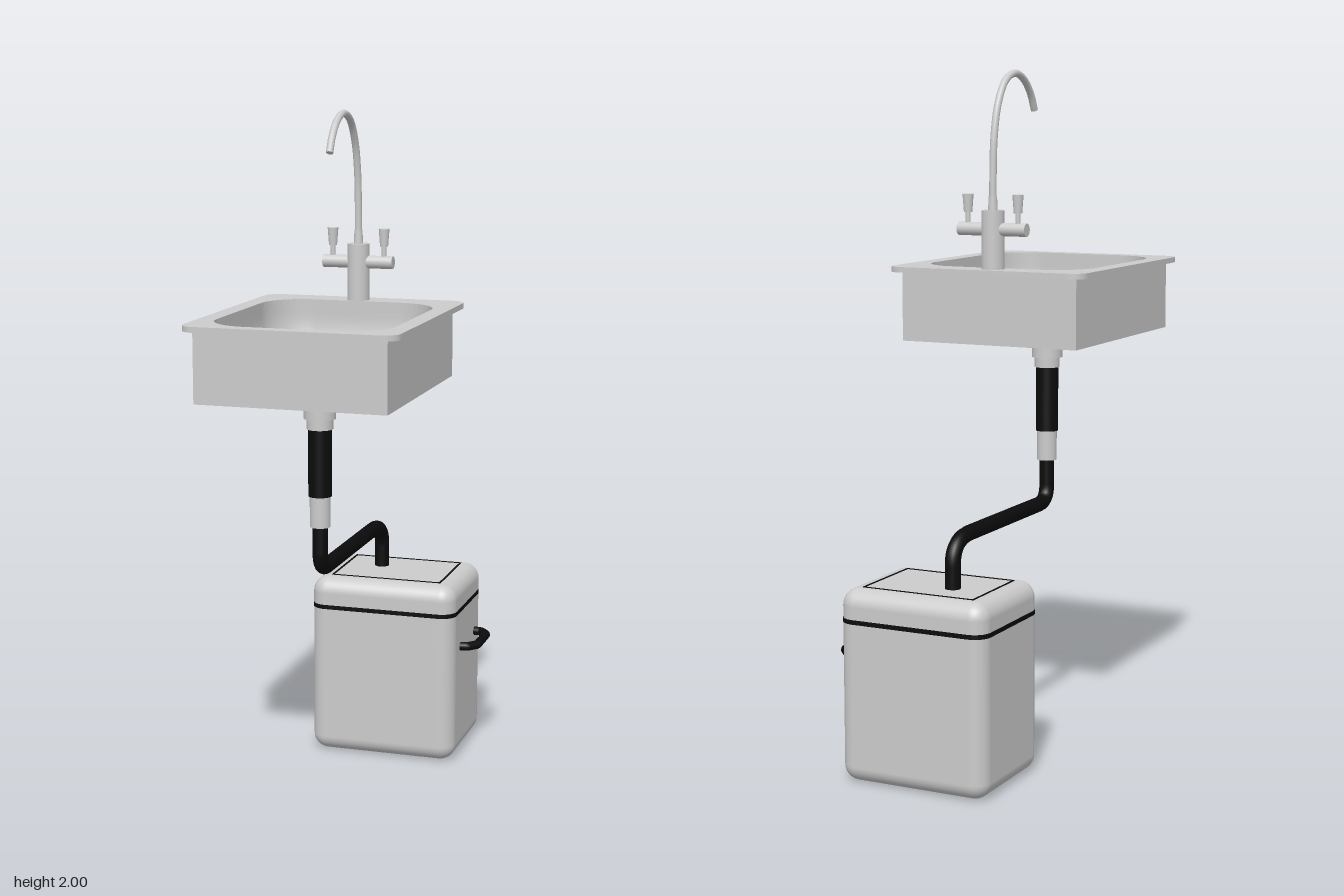
import * as THREE from 'three';
import { RoundedBoxGeometry } from 'three/addons/geometries/RoundedBoxGeometry.js';

const grey = new THREE.MeshStandardMaterial({ color: 0xcccccc });
const black = new THREE.MeshStandardMaterial({ color: 0x0b0b0b });
const V = (x, y, z) => new THREE.Vector3(x, y, z);

// Outline of a rounded rectangle, counter-clockwise, always 4 * (n + 1) points
function roundedRect(hw, hh, r, n = 10) {
  const pts = [];
  [[1, 1], [-1, 1], [-1, -1], [1, -1]].forEach(([sx, sy], c) => {
    for (let i = 0; i <= n; i++) {
      const a = (c + i / n) * Math.PI / 2;
      pts.push(new THREE.Vector2(sx * (hw - r) + r * Math.cos(a), sy * (hh - r) + r * Math.sin(a)));
    }
  });
  return pts;
}

// Horizontal plate with an optional hole, its underside at y = 0
function plate(outline, depth, hole) {
  const shape = new THREE.Shape(outline);
  if (hole) shape.holes.push(new THREE.Path(hole));
  return new THREE.ExtrudeGeometry(shape, { depth, bevelEnabled: false }).rotateX(-Math.PI / 2);
}

// Basin: rounded-rectangle rings that curve down and in to a flat floor
function bowlGeometry(hw, hd, r, top, floor, cx, cz) {
  const pos = [], idx = [], steps = 14, inset = 0.11;
  const rings = [[0, top]];
  for (let i = 0; i <= steps; i++) {
    const a = i / steps * Math.PI / 2;
    rings.push([inset * (1 - Math.cos(a)), top - 0.03 - (top - 0.03 - floor) * Math.sin(a)]);
  }
  rings.push([inset + 0.02, floor]);
  let n = 0;
  for (const [d, y] of rings) {
    const pts = roundedRect(hw - d, hd - d, Math.max(r - d, 0.012));
    n = pts.length;
    pts.forEach(p => pos.push(p.x, y, -p.y));
  }
  for (let k = 0; k < rings.length - 1; k++) {
    for (let i = 0; i < n; i++) {
      const a = k * n + i, b = k * n + (i + 1) % n;
      idx.push(a, b, b + n, a, b + n, a + n);
    }
  }
  const last = (rings.length - 1) * n, centre = pos.length / 3;
  pos.push(cx, floor, cz);
  for (let i = 0; i < n; i++) idx.push(last + i, last + (i + 1) % n, centre);
  const g = new THREE.BufferGeometry();
  g.setAttribute('position', new THREE.Float32BufferAttribute(pos, 3));
  g.setIndex(idx);
  g.computeVertexNormals();
  return g;
}

export function createModel() {
  const model = new THREE.Group();
  const group = name => {
    const g = new THREE.Group();
    g.name = name;
    model.add(g);
    return g;
  };
  const add = (parent, name, geo, mat, x = 0, y = 0, z = 0) => {
    const m = new THREE.Mesh(geo, mat);
    m.name = name;
    m.position.set(x, y, z);
    parent.add(m);
    return m;
  };
  // Upright cylinder given by its bottom and top heights
  const post = (parent, name, mat, x, z, y0, y1, rBottom, rTop = rBottom) =>
    add(parent, name, new THREE.CylinderGeometry(rTop, rBottom, y1 - y0, 32), mat, x, (y0 + y1) / 2, z);
  // Round tube with flat end caps
  const tube = (parent, name, curve, r, mat, segs = 64, sides = 16) => {
    add(parent, name, new THREE.TubeGeometry(curve, segs, r, sides), mat);
    for (const t of [0, 1]) {
      const dir = curve.getTangentAt(t).multiplyScalar(t ? 1 : -1), p = curve.getPointAt(t);
      const cap = add(parent, name + 'End', new THREE.CircleGeometry(r, sides), mat, p.x, p.y, p.z);
      cap.quaternion.setFromUnitVectors(V(0, 0, 1), dir);
    }
  };

  // Sink
  const sink = group('sink');
  const sx = -0.016, bowlZ = 0.195;
  const opening = roundedRect(0.258, 0.305, 0.125);
  const holePts = opening.map(p => new THREE.Vector2(p.x, p.y - (bowlZ - 0.172)));
  add(sink, 'rim', plate(roundedRect(0.309, 0.372, 0.045), 0.016, holePts), grey, sx, 1.422, 0.172);
  add(sink, 'bowl', bowlGeometry(0.258, 0.305, 0.125, 1.424, 1.235, -0.007, 0.023), grey, sx, 0, bowlZ);
  const shell = new THREE.BoxGeometry(0.553, 0.204, 0.675);
  const faces = Array.from(shell.index.array);
  faces.splice(12, 6); // open top
  shell.setIndex(faces);
  shell.clearGroups();
  add(sink, 'casing', shell, grey, sx, 1.322, 0.177);

  // Drain strainer
  const drain = group('drain');
  const dx = -0.023, dz = 0.22;
  post(drain, 'drainPlate', grey, dx, dz, 1.234, 1.238, 0.046);
  for (const r of [0.042, 0.027]) {
    add(drain, 'drainRing', new THREE.TorusGeometry(r, 0.004, 8, 40).rotateX(Math.PI / 2), grey, dx, 1.238, dz);
  }
  for (let i = 0; i < 28; i++) {
    const a = i / 28 * Math.PI * 2;
    add(drain, 'drainStud', new THREE.SphereGeometry(0.003, 8, 6), grey,
      dx + 0.047 * Math.cos(a), 1.238, dz + 0.047 * Math.sin(a));
  }

  // Tap
  const tap = group('tap');
  const tx = -0.025, tz = -0.144;
  post(tap, 'tapBody', grey, tx, tz, 1.436, 1.605, 0.033);
  add(tap, 'crossbar', new THREE.CylinderGeometry(0.019, 0.019, 0.214, 24).rotateZ(Math.PI / 2), grey, tx, 1.551, tz);
  for (const side of [-1, 1]) {
    const x = tx + side * 0.079;
    post(tap, 'knobStem', grey, x, tz, 1.56, 1.605, 0.007);
    post(tap, 'knob', grey, x, tz, 1.598, 1.65, 0.012, 0.016);
  }
  post(tap, 'spoutCollar', grey, tx, tz, 1.6, 1.645, 0.014, 0.012);
  const spoutPath = [[-0.144, 1.6], [-0.143, 1.7], [-0.136, 1.81], [-0.112, 1.9], [-0.065, 1.967],
    [0, 1.99], [0.06, 1.972], [0.105, 1.93], [0.13, 1.885]].map(([z, y]) => V(tx, y, z));
  tube(tap, 'spout', new THREE.CatmullRomCurve3(spoutPath), 0.0105, grey);

  // Waste pipe under the sink
  const waste = group('wastePipe');
  const px = -0.024, pz = 0.226;
  post(waste, 'drainSocket', grey, px, pz, 1.145, 1.222, 0.046);
  post(waste, 'drainCollar', grey, px, pz, 1.115, 1.15, 0.038);
  post(waste, 'upperHose', black, px, pz, 0.92, 1.12, 0.034);
  post(waste, 'coupling', grey, px, pz, 0.83, 0.922, 0.03);
  const hose = new THREE.CurvePath();
  hose.add(new THREE.LineCurve3(V(px, 0.84, pz), V(px, 0.755, pz)));
  hose.add(new THREE.QuadraticBezierCurve3(V(px, 0.755, pz), V(px, 0.7, pz), V(px, 0.7, 0.17)));
  hose.add(new THREE.LineCurve3(V(px, 0.7, 0.17), V(px, 0.7, -0.29)));
  hose.add(new THREE.QuadraticBezierCurve3(V(px, 0.7, -0.29), V(px, 0.7, -0.396), V(px, 0.625, -0.396)));
  hose.add(new THREE.LineCurve3(V(px, 0.625, -0.396), V(px, 0.555, -0.396)));
  tube(waste, 'lowerHose', hose, 0.0225, black, 120);

  // Waste container
  const bin = group('container');
  const bx = 0.036, bz = -0.363;
  add(bin, 'containerBody', new RoundedBoxGeometry(0.458, 0.56, 0.365, 8, 0.048), grey, bx, 0.28, bz);
  add(bin, 'lidSeam', plate(roundedRect(0.23, 0.1835, 0.049), 0.013), black, bx, 0.463, bz);
  add(bin, 'lidPanelOutline', plate(roundedRect(0.175, 0.13, 0.002, 1), 0.002, roundedRect(0.169, 0.124, 0.002, 1)),
    black, bx, 0.5595, bz - 0.002);

  // Side handle
  const grip = new THREE.CurvePath();
  const gripPts = [[0.258, -0.455], [0.288, -0.452], [0.311, -0.425], [0.311, -0.311], [0.288, -0.282], [0.258, -0.278]]
    .map(([x, z]) => V(x, 0.352, z));
  for (let i = 0; i < gripPts.length - 1; i++) grip.add(new THREE.LineCurve3(gripPts[i], gripPts[i + 1]));
  tube(bin, 'sideHandle', grip, 0.0135, black, 48, 12);

  return model;
}
